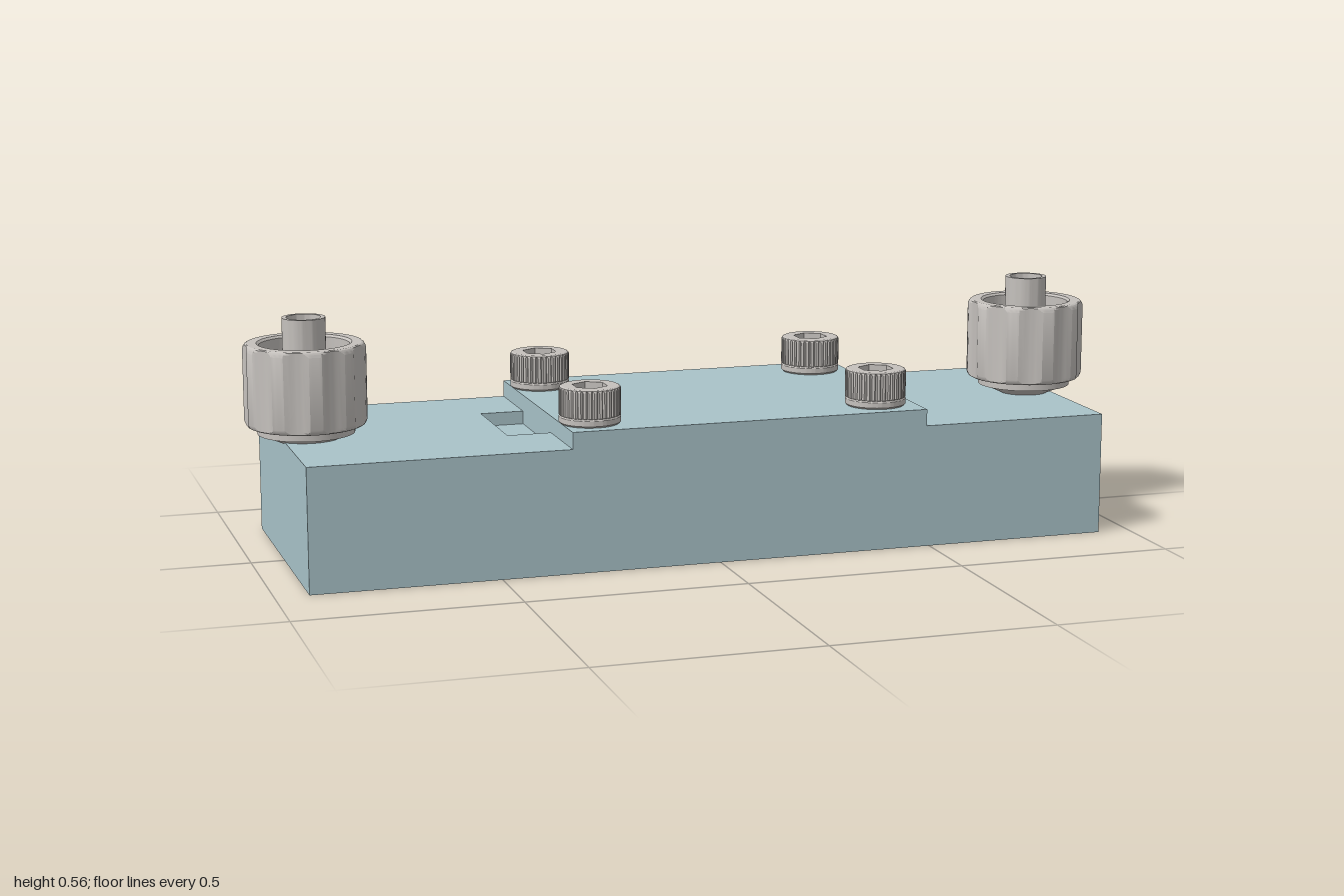
import * as THREE from 'three';
import { toCreasedNormals } from 'three/addons/utils/BufferGeometryUtils.js';

const DEG = Math.PI / 180;

// Lathe whose radius is adjusted by rule(radius, angle, y); edges stay crisp
function shapedLathe(profile, segments, rule) {
  const g = new THREE.LatheGeometry(profile.map(([r, y]) => new THREE.Vector2(r, y)), segments);
  const p = g.attributes.position;
  if (rule) {
    for (let i = 0; i < p.count; i++) {
      const x = p.getX(i), z = p.getZ(i), r = Math.hypot(x, z);
      if (r < 1e-6) continue;
      const k = rule(r, Math.atan2(z, x), p.getY(i)) / r;
      p.setX(i, x * k);
      p.setZ(i, z * k);
    }
  }
  return toCreasedNormals(g, 0.36);
}

// Signed distance of an angle from the middle of its repeat
const wrap = (a, step) => a - step * Math.round(a / step);

export function createModel() {
  const blue = new THREE.MeshStandardMaterial({ color: 0xa9c3c9 });
  blue.name = 'pale blue body';
  const grey = new THREE.MeshStandardMaterial({ color: 0xc5c1bd });
  grey.name = 'warm grey metal';

  const model = new THREE.Group();
  model.name = 'manifoldBlock';

  const add = (parent, name, geometry, material, x = 0, y = 0, z = 0) => {
    const m = new THREE.Mesh(geometry, material);
    m.name = name;
    m.position.set(x, y, z);
    parent.add(m);
    return m;
  };

  // Block: solid core, a thin deck with a pocket cut in it, and a raised plate
  add(model, 'baseBlock', new THREE.BoxGeometry(1.85, 0.25, 0.62), blue, 0, 0.125, 0);
  const rect = (C, x0, x1, z) => new C([[x0, -z], [x1, -z], [x1, z], [x0, z]].map(([a, b]) => new THREE.Vector2(a, b)));
  const deck = rect(THREE.Shape, -0.925, 0.925, 0.31);
  deck.holes.push(rect(THREE.Path, -0.44, -0.34, 0.125));
  const deckGeo = new THREE.ExtrudeGeometry(deck, { depth: 0.03, bevelEnabled: false });
  deckGeo.rotateX(-Math.PI / 2);
  add(model, 'pocketDeck', deckGeo, blue, 0, 0.25, 0);
  add(model, 'raisedPlate', new THREE.BoxGeometry(0.83, 0.038, 0.62), blue, 0.075, 0.299, 0);

  // Socket cap screws: knurled head, smooth collar, hexagonal socket
  const screwGeo = shapedLathe([
    [0, 0], [0.065, 0], [0.069, 0.004], [0.069, 0.016], [0.067, 0.019], [0.069, 0.0205],
    [0.069, 0.078], [0.067, 0.082], [0.063, 0.084], [0.036, 0.084], [0.036, 0.04], [0, 0.04],
  ], 144, (r, a, y) => {
    if (r < 0.05) return 0.035 / Math.cos(wrap(a, 60 * DEG));
    const groove = Math.abs(wrap(a, 10 * DEG)) < 2 * DEG;
    return groove && y > 0.02 && y < 0.08 ? r - 0.004 : r;
  });
  for (const x of [-0.275, 0.4]) {
    for (const z of [-0.217, 0.217]) add(model, 'capScrew', screwGeo, grey, x, 0.318, z);
  }

  // Fluted nut: the flutes are cut through the rounded rims
  const nutGeo = shapedLathe([
    [0.1, 0.038], [0.127, 0.038], [0.131, 0.040], [0.134, 0.044], [0.136, 0.05],
    [0.136, 0.211], [0.134, 0.217], [0.131, 0.221], [0.127, 0.223],
    [0.105, 0.223], [0.1, 0.218], [0.1, 0.038],
  ], 120, (r, a) => {
    if (r < 0.12) return r;
    const t = wrap(a, 36 * DEG) / (12 * DEG);
    return Math.min(r, 0.136 - 0.007 * Math.max(0, 1 - t * t));
  });

  // Hollow stem with seating cone, collar and floor of the nut
  const stemGeo = shapedLathe([
    [0.03, 0], [0.057, 0], [0.1, 0.02], [0.108, 0.02], [0.108, 0.039], [0.1, 0.05],
    [0.048, 0.05], [0.048, 0.279], [0.038, 0.279], [0.03, 0],
  ], 64);

  for (const [x, y] of [[-0.868, 0.27], [0.866, 0.28]]) {
    const fitting = new THREE.Group();
    fitting.name = x < 0 ? 'rightFitting' : 'leftFitting';
    fitting.position.set(x, y, 0);
    add(fitting, 'flutedNut', nutGeo, grey);
    add(fitting, 'hollowStem', stemGeo, grey);
    model.add(fitting);
  }

  return model;
}
